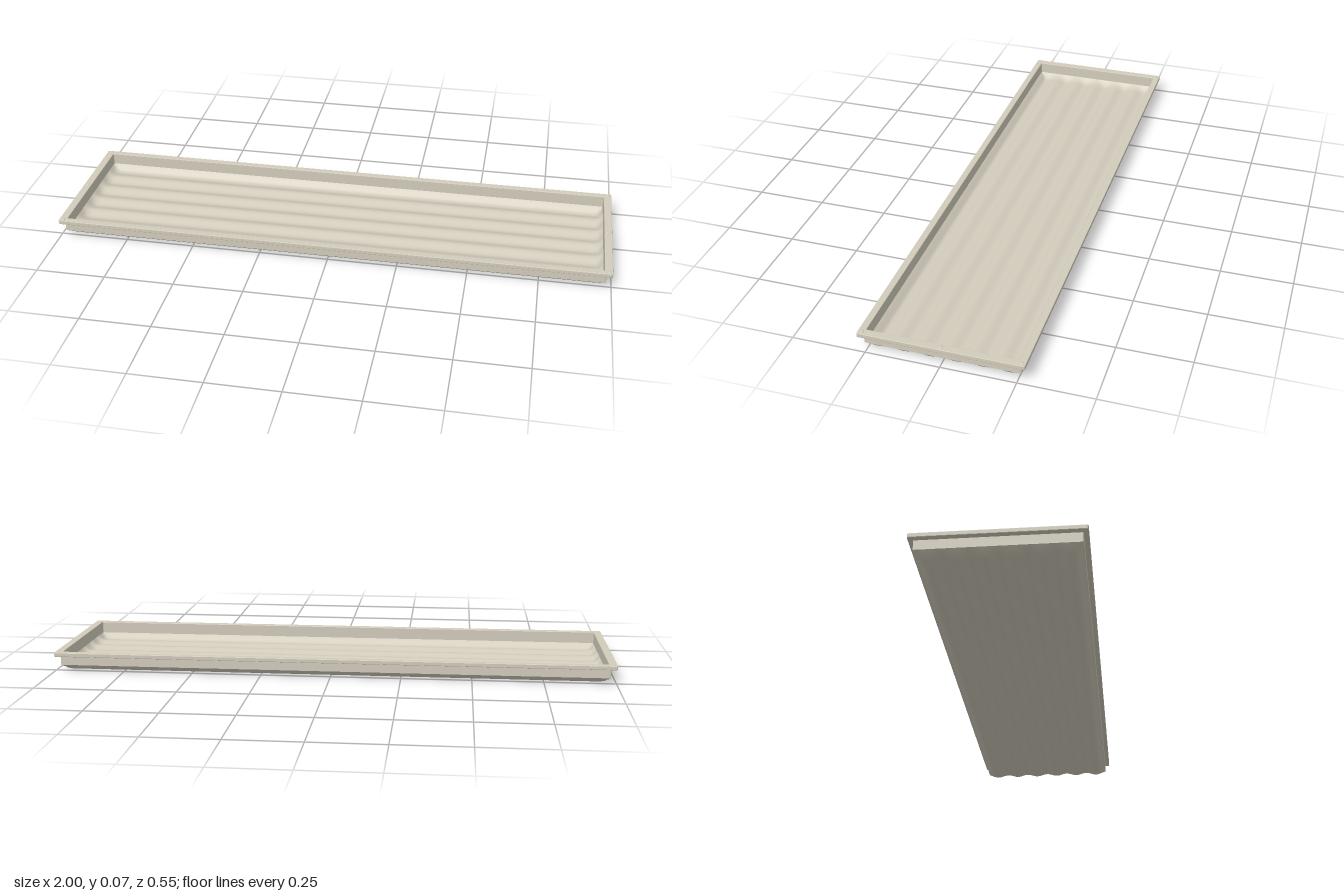
import * as THREE from 'three';

const WALL_X = 0.98, WALL_Z = 0.26, THICK = 0.008;
const FLOOR_EDGE = 0.022, TOP = 0.07;

// Rounded rectangle given by half sizes
function rect(Type, hx, hz, r) {
  const s = new Type();
  s.moveTo(-hx + r, -hz);
  s.lineTo(hx - r, -hz);
  s.quadraticCurveTo(hx, -hz, hx, -hz + r);
  s.lineTo(hx, hz - r);
  s.quadraticCurveTo(hx, hz, hx - r, hz);
  s.lineTo(-hx + r, hz);
  s.quadraticCurveTo(-hx, hz, -hx, hz - r);
  s.lineTo(-hx, -hz + r);
  s.quadraticCurveTo(-hx, -hz, -hx + r, -hz);
  return s;
}

// Rectangular ring standing from y0 to y1, with optional softened edges
function ring(hx, hz, ix, iz, y0, y1, bevel = 0) {
  const shape = rect(THREE.Shape, hx - bevel, hz - bevel, 0.005);
  shape.holes.push(rect(THREE.Path, ix + bevel, iz + bevel, 0.004));
  const g = new THREE.ExtrudeGeometry(shape, {
    depth: y1 - y0 - 2 * bevel, curveSegments: 4, bevelEnabled: bevel > 0,
    bevelSize: bevel, bevelThickness: bevel, bevelSegments: 2,
  });
  g.rotateX(-Math.PI / 2);
  g.translate(0, y0 + bevel, 0);
  return g;
}

// Corrugated sheet with six lengthwise channels and upturned edges
function corrugated(hx, hz, lift, facing) {
  const g = new THREE.PlaneGeometry(2, 2, 48, 120);
  g.rotateX(-facing * Math.PI / 2);
  const p = g.attributes.position;
  for (let i = 0; i < p.count; i++) {
    // Rows crowd towards the edges, where the sheet bends
    const x = hx * Math.sin(p.getX(i) * Math.PI / 2);
    const z = hz * Math.sin(p.getZ(i) * Math.PI / 2);
    const wave = 0.005 + 0.005 * Math.cos(z * 2 * Math.PI * 3 / WALL_Z);
    const t = Math.max(0, 1 - Math.min(hx - Math.abs(x), hz - Math.abs(z)) / 0.025);
    p.setXYZ(i, x, THREE.MathUtils.lerp(wave, FLOOR_EDGE, t ** 1.5) + lift, z);
  }
  g.computeVertexNormals();
  return g;
}

export function createModel() {
  const tray = new THREE.Group();
  tray.name = 'tray';
  const plastic = new THREE.MeshStandardMaterial({ color: 0xd2ccbc });
  plastic.name = 'warm grey plastic';

  const add = (name, geometry) => {
    const m = new THREE.Mesh(geometry, plastic);
    m.name = name;
    tray.add(m);
    return m;
  };

  const ix = WALL_X - THICK, iz = WALL_Z - THICK;
  add('floorUnderside', corrugated(WALL_X, WALL_Z, 0, -1));
  add('floorTop', corrugated(ix, iz, 0.005, 1));
  add('walls', ring(WALL_X, WALL_Z, ix, iz, FLOOR_EDGE, TOP - 0.004));
  add('rim', ring(1, 0.276, ix, iz, 0.055, TOP, 0.002));

  // Low stacking bumps on the end rims
  for (const x of [-0.986, 0.986]) {
    for (const z of [-0.262, 0, 0.262]) {
      const bump = add('stackingBump',
        new THREE.SphereGeometry(0.008, 12, 4, 0, Math.PI * 2, 0, Math.PI / 2));
      bump.scale.y = 0.3;
      bump.position.set(x, TOP, z);
    }
  }
  return tray;
}
